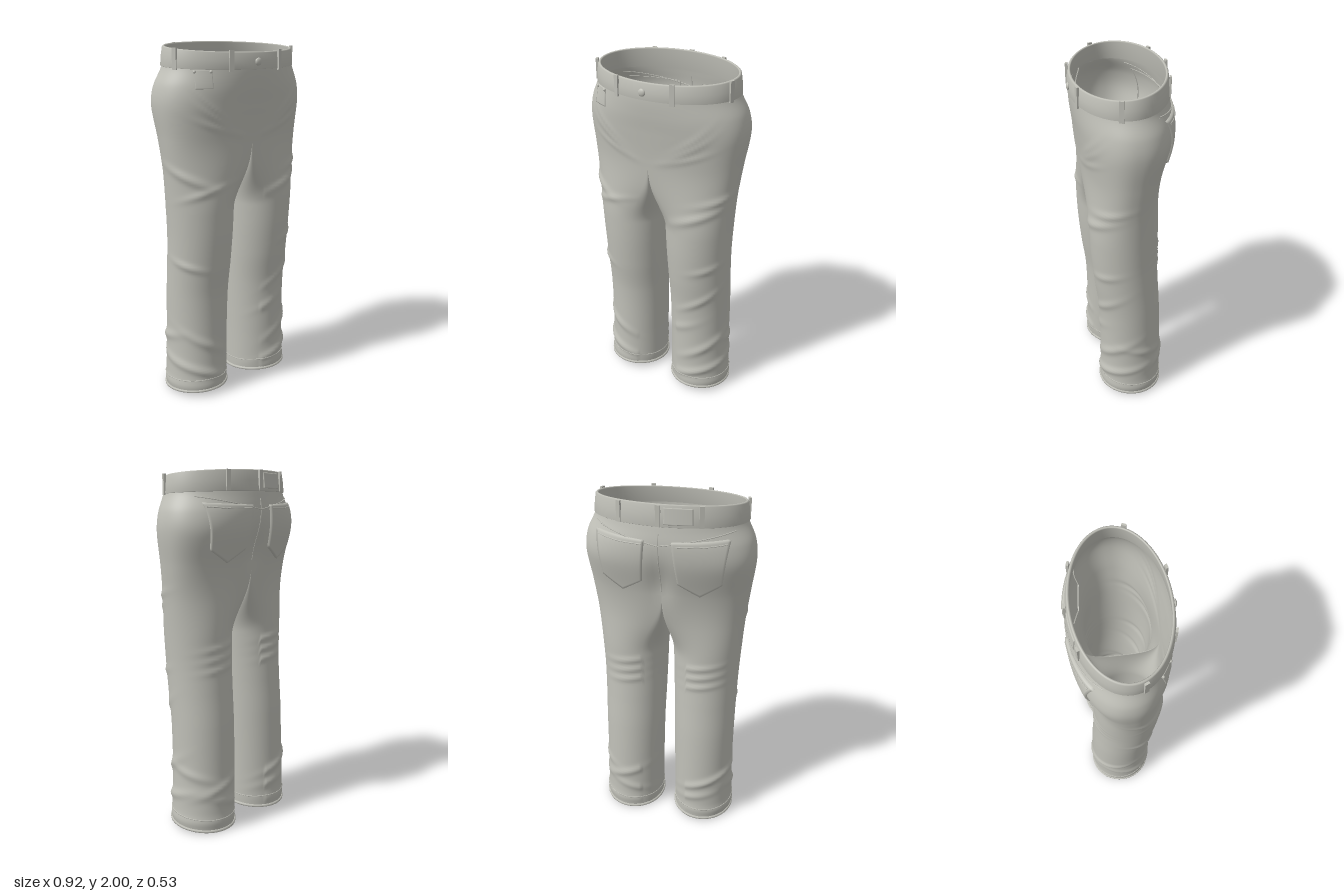
import * as THREE from 'three';
import { mergeVertices, mergeGeometries } from 'three/addons/utils/BufferGeometryUtils.js';

const cloth = new THREE.MeshStandardMaterial({ color: 0xc0c0b8, side: THREE.DoubleSide });
cloth.name = 'grey cloth';

const { lerp, smoothstep, degToRad } = THREE.MathUtils;
const YT = 1.5;          // height where the two legs have fully become one body

// Silhouette stations: y, outer x, inner x, front z, back z
const STATIONS = [
  [0.00, 0.400, 0.046, 0.160, -0.203],
  [0.08, 0.402, 0.044, 0.163, -0.203],
  [0.30, 0.394, 0.042, 0.160, -0.200],
  [0.60, 0.393, 0.036, 0.165, -0.190],
  [0.80, 0.394, 0.030, 0.188, -0.176],
  [1.00, 0.399, 0.024, 0.204, -0.165],
  [1.30, 0.418, 0.014, 0.213, -0.172],
  [1.50, 0.441, 0.010, 0.221, -0.200],
  [1.68, 0.462, 0.010, 0.240, -0.245],
  [1.78, 0.449, 0.010, 0.253, -0.253],
  [1.87, 0.408, 0.010, 0.258, -0.240],
  [1.92, 0.396, 0.010, 0.250, -0.230],
];

// Smooth interpolation through the stations
function station(y) {
  let i = 0;
  while (i < STATIONS.length - 2 && y > STATIONS[i + 1][0]) i++;
  const at = k => STATIONS[Math.max(0, Math.min(STATIONS.length - 1, k))];
  const [p, a, b, n] = [at(i - 1), at(i), at(i + 1), at(i + 2)];
  const h = b[0] - a[0], t = Math.min(1, Math.max(0, (y - a[0]) / h));
  return [1, 2, 3, 4].map(k => {
    const ma = (b[k] - p[k]) / (b[0] - p[0]) * h, mb = (n[k] - a[k]) / (n[0] - a[0]) * h;
    const t2 = t * t, t3 = t2 * t;
    return (2 * t3 - 3 * t2 + 1) * a[k] + (t3 - 2 * t2 + t) * ma + (3 * t2 - 2 * t3) * b[k] + (t3 - t2) * mb;
  });
}

const power = y => 2 + 0.3 * (1 - smoothstep(y, 1.65, 1.87));
const cleft = (x, y) => 0.02 * Math.exp(-((x / 0.06) ** 2) - ((y - 1.58) / 0.13) ** 2);

// Point of the hip surface at a given x, on the front (dir 1) or back (dir -1)
function hipPoint(x, y, dir, off = 0) {
  const [X, , zf, zb] = station(y), n = power(y), Z = (zf - zb) / 2;
  const r = Math.pow(Math.max(0, 1 - Math.pow(Math.abs(x) / X, n)), 1 / n);
  const z = (zf + zb) / 2 + dir * Z * r + (dir < 0 ? cleft(x, y) : 0);
  const nx = x / (X * X), nz = dir * r / Z, l = Math.hypot(nx, nz);
  return new THREE.Vector3(x + off * nx / l, y, z + off * nz / l);
}

// Cloth folds: side, angle (0 front, 90 outer, 180 back), y, slope per degree, angular reach, width, height
const FOLDS = [
  [-1, 50, 1.30, 0.0015, 35, 0.022, 0.012], [-1, 25, 1.22, -0.001, 35, 0.02, 0.008],
  [-1, 55, 0.80, 0.0008, 28, 0.018, 0.011], [-1, 20, 0.33, 0.0016, 40, 0.025, 0.011],
  [1, 20, 1.23, 0.0014, 38, 0.022, 0.011], [1, 50, 1.33, 0.001, 30, 0.02, 0.009],
  [1, 25, 0.67, 0.002, 38, 0.022, 0.010], [1, 40, 0.90, 0.001, 28, 0.02, 0.008],
  [1, 35, 0.33, 0.0018, 45, 0.028, 0.012], [1, -15, 0.46, 0.0015, 35, 0.025, 0.007],
];
for (const s of [-1, 1]) {
  for (const y of [0.94, 1.0, 1.06]) FOLDS.push([s, 185, y, s * 0.0005, 38, 0.016, 0.008]);
  FOLDS.push([s, 175, 0.27, s * 0.0012, 55, 0.024, 0.011], [s, 200, 0.16, -0.0008, 50, 0.024, 0.009],
    [s, 60, 0.19, 0.0008, 60, 0.024, 0.010], [s, 0, 0.13, 0.001, 45, 0.02, 0.009],
    [s, 110, 0.34, -0.0008, 40, 0.025, 0.008], [s, 100, 0.06, 0, 200, 0.03, 0.006],
    [s, 12, 1.62, 0.0035, 22, 0.014, 0.006], [s, 14, 1.67, 0.004, 20, 0.014, 0.005],
    [s, 8, 1.56, 0.002, 24, 0.014, 0.005]);
}
function foldHeight(side, angle, y) {
  let d = 0;
  for (const [s, a, fy, slope, reach, w, h] of FOLDS) {
    if (s !== side) continue;
    const da = ((angle - a + 540) % 360) - 180;
    d += h * Math.exp(-((da / reach) ** 2) - ((y - fy - slope * da) / w) ** 2);
  }
  return d;
}

const hemY = z => 0.026 + 0.08 * z;
const M = 64, K = 40, LEG_ROWS = 110, HIP_ROWS = 36;

// Point of one trouser half. Columns 0..M run front-outer-back, the rest return along the inner leg.
function halfPoint(side, col, row) {
  const outer = col <= M, s = outer ? 0 : (col - M) / K, phi = outer ? Math.PI * col / M : 0;
  const angle = outer ? lerp(-25, 205, col / M) : 205 + 130 * s;
  const a = degToRad(angle), k = 2 * s - 1;
  const topY = outer ? YT : 1.335 + (YT - 1.335) * Math.abs(k) ** 3;
  const hem = hemY(-0.02 + 0.18 * Math.cos(a));
  const waist = 1.885 - 0.0125 * Math.cos(phi);
  const y = row <= LEG_ROWS ? lerp(hem, topY, row / LEG_ROWS) : lerp(YT, waist, (row - LEG_ROWS) / HIP_ROWS);
  const [X, xi, zf, zb] = station(y), zc = (zf + zb) / 2, Z = (zf - zb) / 2;
  const w = smoothstep(y, 1.1, topY);
  let hx = 0, hz;
  if (outer) {
    const e = 2 / power(y), c = Math.cos(phi);
    hx = col % M ? X * Math.pow(Math.sin(phi), e) : 0;
    hz = zc + Z * Math.sign(c) * Math.pow(Math.abs(c), e);
    if (c < 0) hz += cleft(hx, y);
  } else {
    hz = zc + Z * Math.sin(k * Math.PI / 2);
    if (k < 0) hz += cleft(0, y) * -k;
  }
  const x = lerp((X + xi) / 2 + (X - xi) / 2 * Math.sin(a), hx, w);
  const z = lerp(zc + Z * Math.cos(a), hz, w);
  const d = foldHeight(side, angle, y) * Math.min(1, x / 0.08) * (outer ? 1 : 0.3);
  return new THREE.Vector3(side * (x + d * Math.sin(a)), y, z + d * Math.cos(a));
}

// Surface from a rule giving a point for each column and row
function grid(fn, cols, rows, flip = false) {
  const pos = [], idx = [], n = cols + 1;
  for (let r = 0; r <= rows; r++) for (let c = 0; c <= cols; c++) pos.push(...fn(c, r).toArray());
  for (let r = 0; r < rows; r++) for (let c = 0; c < cols; c++) {
    const p = r * n + c;
    if (flip) idx.push(p, p + n, p + 1, p + 1, p + n, p + n + 1);
    else idx.push(p, p + 1, p + n, p + 1, p + n + 1, p + n);
  }
  const g = new THREE.BufferGeometry();
  g.setAttribute('position', new THREE.Float32BufferAttribute(pos, 3));
  g.setIndex(idx);
  return g;
}
function smooth(...parts) {
  const g = mergeVertices(mergeGeometries(parts), 1e-5);
  g.computeVertexNormals();
  return g;
}

// Waistband ellipse at height fraction t (0 bottom, 1 top), moved outwards by off
function bandPoint(phi, t, off = 0) {
  const zf = lerp(0.262, 0.253, t), zb = lerp(-0.243, -0.230, t);
  const z = (zf + zb) / 2 + ((zf - zb) / 2 + off) * Math.cos(phi);
  const y = lerp(1.873 - 0.05 * z, 1.974 - 0.1 * z, t);
  return new THREE.Vector3((lerp(0.411, 0.399, t) + off) * Math.sin(phi), y, z);
}

export function createModel() {
  const group = new THREE.Group();
  const add = (name, geo) => {
    const m = new THREE.Mesh(geo, cloth);
    m.name = name;
    group.add(m);
    return m;
  };
  const seam = (name, pts, r = 0.003, closed = false) =>
    add(name, new THREE.TubeGeometry(new THREE.CatmullRomCurve3(pts, closed), pts.length * 2, r, 6, closed));

  // Legs and hips
  const parts = [];
  for (const s of [1, -1]) {
    parts.push(grid((c, r) => halfPoint(s, c === M + K ? 0 : c, r), M + K, LEG_ROWS, s < 0));
    parts.push(grid((c, r) => halfPoint(s, c, r + LEG_ROWS), M, HIP_ROWS, s < 0));
  }
  add('legsAndHips', smooth(...parts));

  // Rolled hems and hem stitching
  for (const s of [1, -1]) {
    const ring = row => Array.from({ length: (M + K) / 2 }, (_, i) => halfPoint(s, i * 2, row));
    seam('hem', ring(0), 0.009, true);
    seam('hemStitch', ring(5), 0.003, true);
  }

  // Waistband with rounded edges
  const profile = [[0.02, -0.014], [0, -0.006], [0.03, 0.001], [0.5, 0.003], [0.95, 0.001], [1, -0.004],
    [1, -0.010], [0.95, -0.014], [0.02, -0.014]];
  add('waistband', smooth(grid((c, r) => bandPoint(2 * Math.PI * (c % 96) / 96, ...profile[r]), 96, 8)));

  // Belt loops
  for (const deg of [23, -23, 75, -75, 149, -149, 180]) {
    const phi = degToRad(deg), p = bandPoint(phi, 0.5, 0.006);
    const loop = add('beltLoop', new THREE.BoxGeometry(0.024, 0.108, 0.012));
    loop.position.copy(p);
    loop.rotation.y = Math.atan2(Math.sin(phi) / 0.41, Math.cos(phi) / 0.25);
  }

  // Waist button
  const button = add('button', new THREE.SphereGeometry(0.02, 20, 12));
  button.scale.z = 0.5;
  button.position.copy(bandPoint(0, 0.45, 0.004));

  // Raised patches: the border columns and rows sink into the cloth
  const N = 24;
  const patch = (name, fn, off, flip) => add(name, smooth(grid((c, r) => {
    const edge = c === 0 || r === 0 || c === N || r === N;
    const u = (Math.min(N - 1, Math.max(1, c)) - 1) / (N - 2), v = (Math.min(N - 1, Math.max(1, r)) - 1) / (N - 2);
    return fn(u, v, edge ? -0.006 : off);
  }, N, N, flip)));

  for (const s of [1, -1]) {
    // Back pocket with a pointed lower edge
    const pocketXY = (u, v) => [s * lerp(lerp(0.07, 0.095, v), lerp(0.345, 0.315, v), u),
      lerp(lerp(1.815, 1.825, u), 1.585 - 0.07 * (1 - Math.abs(2 * u - 1)), v)];
    patch('backPocket', (u, v, off) => hipPoint(...pocketXY(u, v), -1, off), 0.011, s < 0);
    seam('pocketStitch', Array.from({ length: 12 }, (_, i) => hipPoint(...pocketXY(0.04 + 0.92 * i / 11, 0.08), -1, 0.012)));
    // Yoke seam
    seam('yokeSeam', Array.from({ length: 12 }, (_, i) =>
      hipPoint(s * 0.033 * i, 1.79 + 0.006 * i, -1, 0.001)));
  }
  seam('backSeam', Array.from({ length: 12 }, (_, i) => hipPoint(0, 1.52 + 0.03 * i, -1, 0)));

  // Small front coin pocket with rivets
  patch('coinPocket', (u, v, off) => hipPoint(lerp(-0.338, -0.256, u), lerp(1.77, 1.862, v), 1, off), 0.004, false);
  for (const x of [-0.332, -0.262]) {
    const rivet = add('rivet', new THREE.SphereGeometry(0.008, 12, 8));
    rivet.position.copy(hipPoint(x, 1.855, 1, 0.005));
  }

  // Patch on the back of the waistband
  patch('waistPatch', (u, v, off) =>
    bandPoint(Math.PI + lerp(0.07, 0.43, u), lerp(0.14, 0.86, v), off), 0.007, false);

  return group;
}
